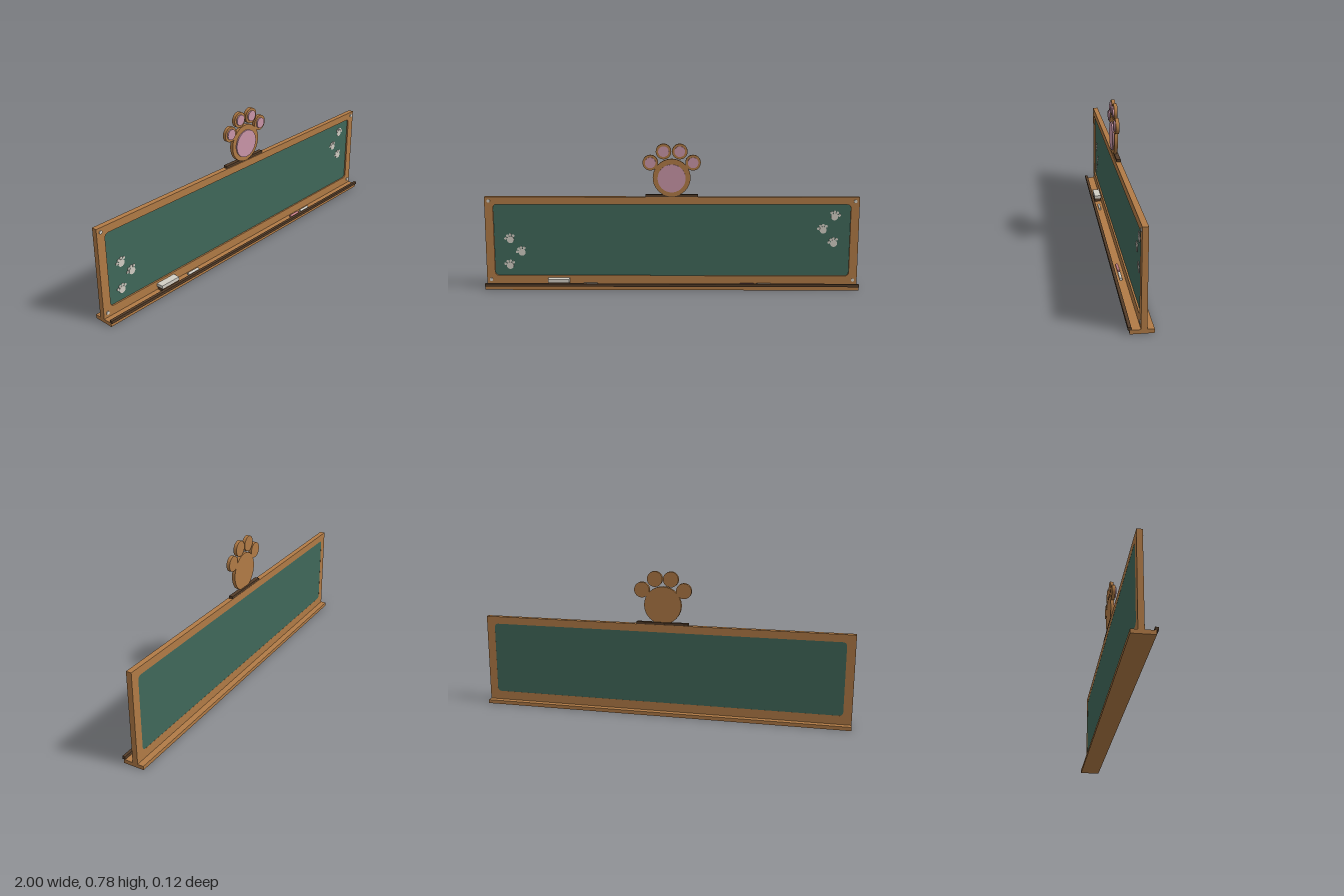
import * as THREE from 'three';

const mat = (name, color) => {
  const m = new THREE.MeshStandardMaterial({ color });
  m.name = name;
  return m;
};

// Rectangle with rounded corners, usable as an outline or a hole
function roundedRect(target, x0, y0, x1, y1, r) {
  target.moveTo(x0 + r, y0);
  target.lineTo(x1 - r, y0);
  target.absarc(x1 - r, y0 + r, r, -Math.PI / 2, 0);
  target.lineTo(x1, y1 - r);
  target.absarc(x1 - r, y1 - r, r, 0, Math.PI / 2);
  target.lineTo(x0 + r, y1);
  target.absarc(x0 + r, y1 - r, r, Math.PI / 2, Math.PI);
  target.lineTo(x0, y0 + r);
  target.absarc(x0 + r, y0 + r, r, Math.PI, Math.PI * 1.5);
  return target;
}

export function createModel() {
  const wood = mat('wood', 0xb17b46);
  const darkWood = mat('dark wood', 0x533c28);
  const green = mat('board green', 0x40685a);
  const pink = mat('pad pink', 0xca96a8);
  const white = mat('chalk white', 0xd2cec4);
  const rose = mat('rose chalk', 0xc88088);
  const model = new THREE.Group();

  const add = (name, geometry, material, x, y, z, parent = model) => {
    const mesh = new THREE.Mesh(geometry, material);
    mesh.name = name;
    mesh.position.set(x, y, z);
    parent.add(mesh);
    return mesh;
  };
  // Box given by its extents
  const box = (name, material, x0, x1, y0, y1, z0, z1) =>
    add(name, new THREE.BoxGeometry(x1 - x0, y1 - y0, z1 - z0), material,
      (x0 + x1) / 2, (y0 + y1) / 2, (z0 + z1) / 2);
  // Disc facing the front, from z0 to z1
  const disc = (name, material, x, y, r, z0, z1, parent = model, sides = 32) => {
    const g = new THREE.CylinderGeometry(r, r, z1 - z0, sides).rotateX(Math.PI / 2);
    return add(name, g, material, x, y, (z0 + z1) / 2, parent);
  };

  // Frame with a rounded opening, and the writing panel set into it
  const outline = new THREE.Shape([[-1, 0.02], [1, 0.02], [1, 0.497], [-1, 0.497]]
    .map(([x, y]) => new THREE.Vector2(x, y)));
  outline.holes.push(roundedRect(new THREE.Path(), -0.955, 0.067, 0.955, 0.457, 0.02));
  add('frame', new THREE.ExtrudeGeometry(outline, { depth: 0.028, bevelEnabled: false }),
    wood, 0, 0, -0.025);
  const panel = roundedRect(new THREE.Shape(), -0.955, 0.067, 0.955, 0.457, 0.02);
  add('writingPanel', new THREE.ExtrudeGeometry(panel, { depth: 0.019, bevelEnabled: false }),
    green, 0, 0, -0.0245);

  // Chalk ledge with its dark lip
  box('ledge', wood, -1, 1, 0, 0.02, -0.057, 0.052);
  box('ledgeLip', darkWood, -1, 1, 0.02, 0.035, 0.045, 0.06);

  // Corner screws
  for (const x of [-0.977, 0.977])
    for (const y of [0.045, 0.475]) disc('screw', white, x, y, 0.009, 0.002, 0.007, model, 12);

  // Eraser
  box('eraserFelt', darkWood, -0.66, -0.55, 0.02, 0.039, 0.006, 0.042);
  box('eraserBlock', white, -0.665, -0.55, 0.039, 0.056, 0.005, 0.043);

  // Chalk sticks
  for (const [x, m] of [[-0.435, white], [0.405, rose], [0.495, white]])
    add('chalkStick', new THREE.CylinderGeometry(0.007, 0.007, 0.072, 12).rotateZ(Math.PI / 2),
      m, x, 0.027, 0.026);

  // Paw ornament standing on a dark mounting strip
  box('ornamentMount', darkWood, -0.14, 0.14, 0.497, 0.51, -0.024, -0.002);
  const ornament = new THREE.Group();
  ornament.name = 'pawOrnament';
  model.add(ornament);
  disc('palm', wood, 0, 0.6, 0.1, -0.015, 0.003, ornament, 40);
  disc('palmPad', pink, 0, 0.597, 0.074, 0.003, 0.01, ornament, 40);
  for (const [x, y] of [[-0.113, 0.68], [-0.043, 0.739], [0.043, 0.739], [0.113, 0.68]]) {
    disc('toe', wood, x, y, 0.041, -0.015, 0.003, ornament);
    disc('toePad', pink, x, y, 0.028, 0.003, 0.01, ornament);
  }

  // Chalk paw prints: x, y and turn
  const prints = [
    [-0.87, 0.268, 0.35], [-0.81, 0.198, 0.5], [-0.875, 0.125, 0.2],
    [0.872, 0.395, -0.3], [0.81, 0.323, 0.3], [0.868, 0.25, 0.4],
  ];
  for (const [x, y, turn] of prints) {
    const print = new THREE.Group();
    print.name = 'pawPrint';
    print.position.set(x, y, -0.0055);
    print.rotation.z = turn;
    model.add(print);
    disc('printPalm', white, 0, -0.005, 0.019, 0, 0.002, print, 20);
    for (const [tx, ty] of [[-0.022, 0.01], [-0.008, 0.02], [0.008, 0.02], [0.022, 0.01]])
      disc('printToe', white, tx, ty, 0.0075, 0, 0.002, print, 14);
  }
  return model;
}
